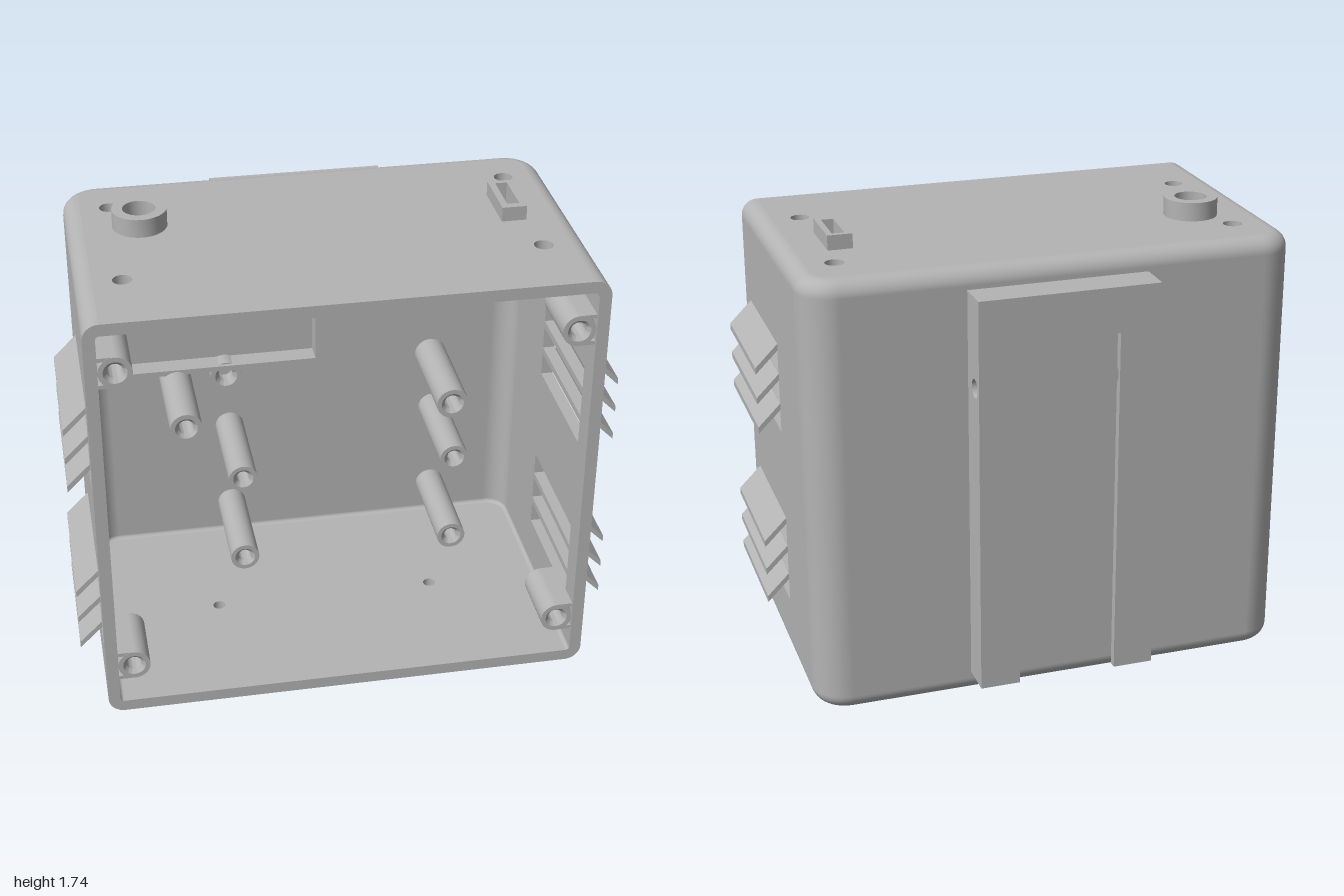
import * as THREE from 'three';
import { toCreasedNormals } from 'three/addons/utils/BufferGeometryUtils.js';

const W = 0.915, H = 1.665, ZF = 0.605, ZB = -0.48; // case half width, height, front, back
const R = 0.13, r = 0.06, T = 0.045, N = 8;         // corner radii, wall, arc steps

export function createModel() {
  const model = new THREE.Group();
  const grey = new THREE.MeshStandardMaterial({ color: 0xb4b4b4 });
  grey.name = 'grey plastic';

  const add = (name, geo, x = 0, y = 0, z = 0) => {
    const m = new THREE.Mesh(geo, grey);
    m.name = name;
    m.position.set(x, y, z);
    model.add(m);
    return m;
  };
  const block = (name, x0, x1, y0, y1, z0, z1) =>
    add(name, new THREE.BoxGeometry(x1 - x0, y1 - y0, z1 - z0), (x0 + x1) / 2, (y0 + y1) / 2, (z0 + z1) / 2);
  const poly = (pts, C = THREE.Shape) => new C(pts.map(p => new THREE.Vector2(...p)));
  const rect = (x0, x1, y0, y1, C = THREE.Shape) => poly([[x0, y0], [x1, y0], [x1, y1], [x0, y1]], C);
  const circle = (x, y, rad) => new THREE.Path().absarc(x, y, rad, 0, Math.PI * 2, true);
  const extrude = (shape, depth) =>
    new THREE.ExtrudeGeometry(shape, { depth, bevelEnabled: false, curveSegments: 24 });
  // Shape coordinates (-z, y), pushed along +x
  const alongX = (shape, depth) => extrude(shape, depth).rotateY(Math.PI / 2);
  // Shape coordinates (x, -z), pushed along +y
  const alongY = (shape, depth) => extrude(shape, depth).rotateX(-Math.PI / 2);

  // Footprint of the case, open at the front, moved inward by an inset
  const footprint = inset => {
    const half = [[W - inset, ZF]];
    for (let k = 0; k <= N; k++) {
      const a = k / N * Math.PI / 2;
      half.push([W - R + (R - inset) * Math.cos(a), ZB + R - (R - inset) * Math.sin(a)]);
    }
    return [...half, ...half.slice().reverse().map(([x, z]) => [-x, z])];
  };

  // Rounded skin of the case: footprint swept up a profile with rounded ends
  const skin = (t, inward) => {
    const prof = [];
    for (let k = 0; k <= N; k++) {
      const a = k / N * Math.PI / 2;
      prof.push([r - (r - t) * Math.sin(a), r - (r - t) * Math.cos(a)]);
    }
    prof.push(...prof.slice().reverse().map(([i, y]) => [i, H - y]));
    const pos = [], idx = [], n = footprint(0).length;
    for (const [inset, y] of prof) for (const [x, z] of footprint(inset)) pos.push(x, y, z);
    for (let v = 0; v < prof.length - 1; v++) for (let u = 0; u < n - 1; u++) {
      if (v === N && (u === 0 || u === n - 2)) continue; // side panels fill these
      const a = v * n + u, b = a + 1, c = b + n, d = a + n;
      idx.push(...(inward ? [a, c, b, a, d, c] : [a, b, c, a, c, d]));
    }
    const g = new THREE.BufferGeometry();
    g.setAttribute('position', new THREE.Float32BufferAttribute(pos, 3));
    g.setIndex(idx);
    g.computeVertexNormals();
    return g;
  };
  add('outerShell', skin(0, false));
  add('innerShell', skin(T, true));

  // Top and bottom panels with their holes
  const panel = () => poly(footprint(r).map(([x, z]) => [x, -z]));
  const top = panel(), bottom = panel();
  for (const s of [-1, 1]) {
    for (const z of [-0.265, 0.305]) top.holes.push(circle(s * 0.75, -z, 0.035));
    bottom.holes.push(circle(s * 0.43, -0.09, 0.024));
  }
  top.holes.push(circle(-0.65, 0.1, 0.06), rect(0.675, 0.72, -0.07, 0.105, THREE.Path));
  add('topPanel', alongY(top, T), 0, H - T, 0);
  add('bottomPanel', alongY(bottom, T));

  // Front rim
  const roundRect = (t, C) => {
    const s = new C(), q = r - t, a = Math.PI / 2;
    s.absarc(W - r, r, q, -a, 0);
    s.absarc(W - r, H - r, q, 0, a);
    s.absarc(-W + r, H - r, q, a, 2 * a);
    s.absarc(-W + r, r, q, 2 * a, 3 * a);
    s.closePath();
    return s;
  };
  const rim = roundRect(0, THREE.Shape);
  rim.holes.push(roundRect(T, THREE.Path));
  add('frontRim', new THREE.ShapeGeometry(rim, N), 0, 0, ZF);

  // Slotted side panels and sloping louvres
  const slatTops = [1.29, 0.59].flatMap(y => [0, 1, 2].map(i => y - i * 0.117));
  const side = rect(-ZF, -(ZB + R), r, H - r);
  for (const y of slatTops) side.holes.push(rect(-0.505, -0.005, y - 0.115, y - 0.025, THREE.Path));
  for (const s of [-1, 1]) {
    add('sidePanel', alongX(side, T), s > 0 ? W - T : -W, 0, 0);
    for (const y of slatTops) {
      const pts = [[0.9, y - 0.008], [0.9, y - 0.025], [0.915, y - 0.025], [1, y - 0.11], [1, y - 0.085], [0.915, y]];
      add('louvre', extrude(poly(pts.map(([x, v]) => [s * x, v])), 0.51));
    }
  }

  // Hollow post, standing on z0 and ending at z1
  const tube = (rad, hole, len, chamfer) => toCreasedNormals(new THREE.LatheGeometry([
    [rad, 0], [rad, len], [hole + chamfer, len], [hole, len - chamfer], [hole, 0], [rad, 0],
  ].map(p => new THREE.Vector2(...p)), 32), 0.5);
  const post = (name, x, y, z0, z1, rad, hole) =>
    add(name, tube(rad, hole, z1 - z0, 0.014).rotateX(Math.PI / 2), x, y, z0);

  // Corner screw bosses joined to the side walls
  for (const s of [-1, 1]) for (const y of [0.205, 1.47]) {
    post('cornerBoss', s * 0.81, y, 0.36, 0.598, 0.06, 0.028);
    for (const e of [-1, 1])
      block('bossWeb', s > 0 ? 0.81 : -0.875, s > 0 ? 0.875 : -0.81,
        y + e * 0.0525 - 0.0075, y + e * 0.0525 + 0.0075, 0.36, 0.597);
  }

  // Standoffs on the back wall
  const floor = ZB + T - 0.005;
  for (const x of [-0.52, 0.53]) for (const y of [0.817, 1.557]) post('tallStandoff', x, y, floor, -0.03, 0.063, 0.03);
  for (const x of [-0.305, 0.545]) for (const y of [0.18, 0.56]) post('standoff', x, y, floor, -0.03, 0.057, 0.026);
  for (const y of [0.83, 1.545]) post('shortStandoff', -0.32, y, floor, -0.37, 0.063, 0.03);

  // Raised rectangular frame on the back wall
  const frame = rect(-0.835, 0.065, 0.865, 1.505);
  frame.holes.push(rect(-0.812, 0.04, 0.887, 1.482, THREE.Path));
  add('innerFrame', extrude(frame, 0.085), 0, 0, floor);
  block('frameTab', -0.845, -0.82, 1.035, 1.2, floor, -0.33);

  // Round and rectangular collars on top
  add('roundCollar', tube(0.1, 0.06, 0.07, 0.001), -0.65, H, -0.1);
  const collar = rect(0.65, 0.742, -0.1, 0.125);
  collar.holes.push(rect(0.675, 0.72, -0.07, 0.105, THREE.Path));
  add('rectangularCollar', alongY(collar, 0.055), 0, H, 0);

  // Rear mount: a slot open at the bottom, with lips and a cross hole
  const y0 = 0.085, y1 = 1.42, holeY = 1.255, holeU = 0.56;
  block('mountHead', -0.335, 0.335, y1, 1.59, -0.61, ZB);
  block('mountPlate', -0.25, 0.25, y0, y1, -0.52, ZB);
  const leg = rect(-ZB, 0.61, y0, y1);
  leg.holes.push(circle(holeU, holeY, 0.035));
  const lip = new THREE.Shape(), a = Math.acos(0.02 / 0.035);
  lip.moveTo(0.58, y0).lineTo(0.61, y0).lineTo(0.61, y1).lineTo(0.58, y1);
  lip.absarc(holeU, holeY, 0.035, a, -a, true);
  lip.closePath();
  for (const s of [-1, 1]) {
    add('mountLeg', alongX(leg, 0.085), s > 0 ? 0.25 : -0.335, 0, 0);
    add('mountLip', alongX(lip, 0.065), s > 0 ? 0.185 : -0.25, 0, 0);
  }
  return model;
}
